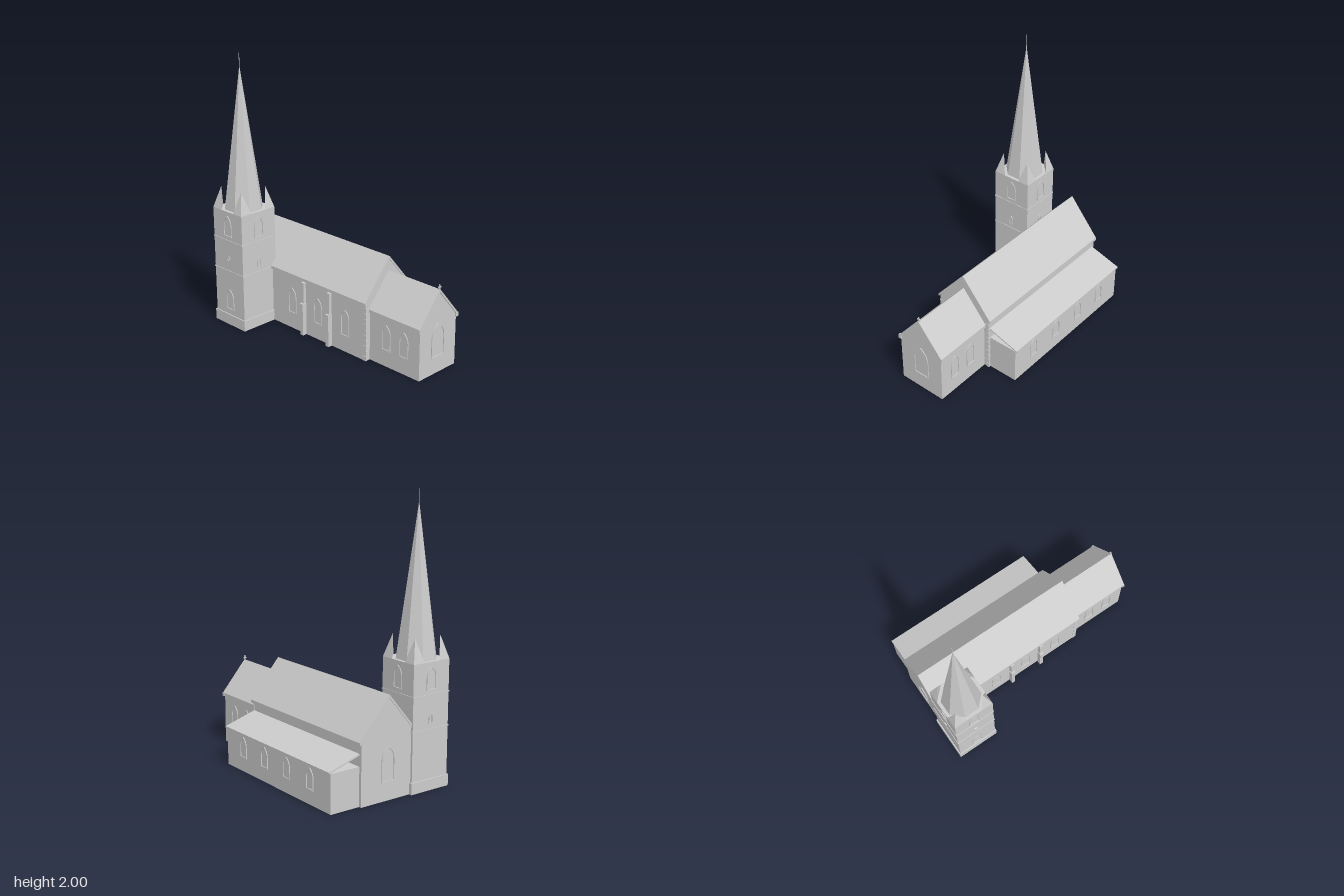
import * as THREE from 'three';
import { ConvexGeometry } from 'three/addons/geometries/ConvexGeometry.js';

export function createModel() {
  const root = new THREE.Group();
  root.name = 'church';
  const stone = new THREE.MeshStandardMaterial({ color: 0xcccccc, flatShading: true });
  stone.name = 'pale grey';

  const add = (name, geometry, parent = root) => {
    const mesh = new THREE.Mesh(geometry, stone);
    mesh.name = name;
    parent.add(mesh);
    return mesh;
  };
  // Box given by its limits on each axis
  const box = (name, x0, x1, y0, y1, z0, z1, parent) => {
    const mesh = add(name, new THREE.BoxGeometry(x1 - x0, y1 - y0, z1 - z0), parent);
    mesh.position.set((x0 + x1) / 2, (y0 + y1) / 2, (z0 + z1) / 2);
    return mesh;
  };
  // Cross-section of [z, y] points drawn out along x
  const prism = (name, points, x0, x1) => {
    const shape = new THREE.Shape(points.map(([z, y]) => new THREE.Vector2(-z, y)));
    const mesh = add(name, new THREE.ExtrudeGeometry(shape, { depth: x1 - x0, bevelEnabled: false }));
    mesh.rotation.y = Math.PI / 2;
    mesh.position.x = x0;
    return mesh;
  };
  // Pointed arch outline standing on y = 0
  const trace = (path, w, h) => {
    const spring = h - w * 0.9;
    path.moveTo(-w / 2, 0);
    path.lineTo(w / 2, 0);
    path.lineTo(w / 2, spring);
    path.quadraticCurveTo(w / 2, h - w * 0.3, 0, h);
    path.quadraticCurveTo(-w / 2, h - w * 0.3, -w / 2, spring);
    path.closePath();
    return path;
  };
  // Thin raised window surround; turn 0 faces +z
  const archWindow = (x, y, z, turn, w, h, parent = root) => {
    const t = 0.008;
    const shape = trace(new THREE.Shape(), w, h);
    const hole = trace(new THREE.Path(), w - 2 * t, h - 2.2 * t);
    shape.holes.push(new THREE.Path(hole.getPoints(6).map(p => new THREE.Vector2(p.x, p.y + t))));
    const mesh = add('windowFrame',
      new THREE.ExtrudeGeometry(shape, { depth: 0.006, bevelEnabled: false, curveSegments: 6 }), parent);
    mesh.position.set(x, y, z);
    mesh.rotation.y = turn * Math.PI / 2;
  };

  // Gabled block: walls under a chevron roof
  const ridgeZ = -0.022;
  const gabled = (name, x0, x1, wall, half, eave, ridge, roofX0, roofX1) => {
    const t = 0.022;
    const yAt = d => ridge - t - (ridge - eave) * d / half;
    prism(name + 'Walls', [
      [ridgeZ - wall, 0], [ridgeZ + wall, 0], [ridgeZ + wall, yAt(wall)],
      [ridgeZ, ridge - t], [ridgeZ - wall, yAt(wall)]], x0, x1);
    prism(name + 'Roof', [
      [ridgeZ + half, eave], [ridgeZ, ridge], [ridgeZ - half, eave],
      [ridgeZ - half, eave - t], [ridgeZ, ridge - t], [ridgeZ + half, eave - t]], roofX0, roofX1);
  };
  gabled('nave', -0.84, 0.4, 0.222, 0.238, 0.435, 0.715, -0.845, 0.405);
  gabled('chancel', 0.39, 0.848, 0.183, 0.196, 0.38, 0.61, 0.4, 0.857);

  // Chancel kneelers and gable cross
  for (const s of [-1, 1]) {
    const z = ridgeZ + s * 0.187;
    box('kneeler', 0.838, 0.857, 0.355, 0.383, z - 0.013, z + 0.013);
  }
  box('crossPost', 0.846, 0.854, 0.6, 0.642, ridgeZ - 0.004, ridgeZ + 0.004);
  box('crossArm', 0.846, 0.854, 0.62, 0.628, ridgeZ - 0.012, ridgeZ + 0.012);

  // Lean-to aisle, open under its sloping roof
  box('aisleWalls', -0.82, 0.385, 0, 0.27, -0.472, -0.24);
  prism('aisleRoof', [[-0.24, 0.358], [-0.487, 0.282], [-0.487, 0.272], [-0.24, 0.348]], -0.823, 0.388);

  // Stepped buttresses on the nave front
  for (const x of [-0.205, 0.055]) {
    box('buttressLower', x - 0.014, x + 0.014, 0, 0.235, 0.19, 0.235);
    box('buttressCap', x - 0.016, x + 0.016, 0.235, 0.245, 0.19, 0.237);
    box('buttressUpper', x - 0.011, x + 0.011, 0.245, 0.395, 0.19, 0.222);
    box('buttressTop', x - 0.014, x + 0.014, 0.395, 0.405, 0.19, 0.224);
  }

  // Alternating corner stones on the nave east end
  for (let i = 0; i < 10; i++) {
    const long = i % 2 ? 0.03 : 0.016;
    box('cornerStone', 0.403 - 0.046 + long, 0.403, i * 0.04, i * 0.04 + 0.034, 0.203 - long, 0.203);
    box('cornerStone', 0.403 - 0.046 + long, 0.403, i * 0.04, i * 0.04 + 0.034, -0.247, -0.247 + long);
  }

  // Windows of nave, chancel and aisle
  for (const x of [-0.335, -0.07, 0.2]) archWindow(x, 0.12, 0.2, 0, 0.08, 0.2);
  for (const x of [0.55, 0.71]) {
    archWindow(x, 0.12, ridgeZ + 0.183, 0, 0.08, 0.19);
    archWindow(x, 0.12, ridgeZ - 0.183, 2, 0.08, 0.19);
  }
  for (const x of [0.18, -0.08, -0.34, -0.6]) archWindow(x, 0.1, -0.472, 2, 0.08, 0.15);
  archWindow(0.848, 0.12, ridgeZ, 1, 0.13, 0.25);
  archWindow(-0.84, 0.13, ridgeZ, 3, 0.11, 0.24);

  // Tower, centred on its own axis
  const tower = new THREE.Group();
  tower.name = 'tower';
  tower.position.set(-0.7, 0, 0.326);
  root.add(tower);
  const a = 0.155;
  box('towerShaft', -a, a, 0, 0.88, -a, a, tower);
  box('towerPlinth', -0.163, 0.163, 0, 0.08, -0.163, 0.163, tower);
  for (const y of [0.42, 0.655]) {
    box('stringCourse', -a - 0.004, a + 0.004, y, y + 0.009, -a - 0.004, a + 0.004, tower);
  }
  for (let i = 0; i < 4; i++) {
    const side = new THREE.Group();
    side.name = 'towerSide';
    side.rotation.y = i * Math.PI / 2;
    tower.add(side);
    archWindow(0, 0.69, a, 0, 0.085, 0.16, side);
    if (i === 0) {
      archWindow(0, 0.12, a, 0, 0.085, 0.16, side);
      const ring = add('roundWindow', new THREE.TorusGeometry(0.014, 0.004, 4, 12), side);
      ring.position.set(0, 0.52, a);
    } else {
      archWindow(0, 0.46, a, 0, 0.035, 0.075, side);
    }
    // Corner pinnacle over the cut of the octagon
    const c = 0.064;
    add('cornerPinnacle', new ConvexGeometry([
      new THREE.Vector3(a, 0.88, a), new THREE.Vector3(c, 0.88, a),
      new THREE.Vector3(a, 0.88, c), new THREE.Vector3(0.11, 1.04, 0.11)]), side);
  }

  // Octagonal spire and finial
  const spire = add('spire', new THREE.ConeGeometry(0.142, 1.035, 8), tower);
  spire.rotation.y = Math.PI / 8;
  spire.position.y = 0.88 + 1.035 / 2;
  const finial = add('finial', new THREE.CylinderGeometry(0.0015, 0.003, 0.11, 6), tower);
  finial.position.y = 1.945;

  return root;
}
